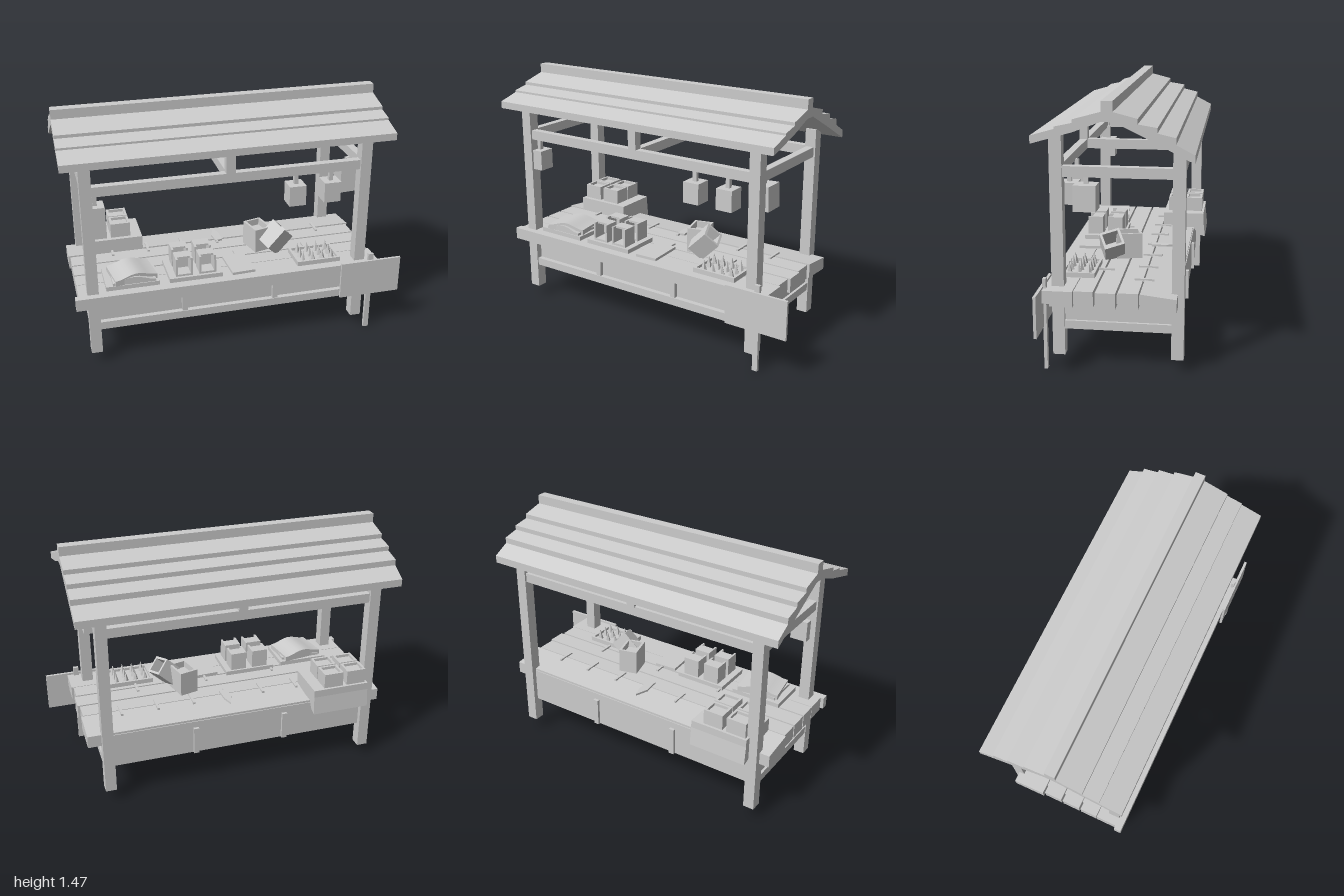
import * as THREE from 'three';

export function createModel() {
  const model = new THREE.Group();
  model.name = 'marketStall';
  const grey = new THREE.MeshStandardMaterial({ color: 0xcccccc });
  grey.name = 'plainGrey';

  const add = (name, geo, parent = model) => {
    const m = new THREE.Mesh(geo, grey);
    m.name = name;
    parent.add(m);
    return m;
  };
  // Box given by its minimum and maximum on each axis
  const box = (name, x0, x1, y0, y1, z0, z1, parent) => {
    const m = add(name, new THREE.BoxGeometry(x1 - x0, y1 - y0, z1 - z0), parent);
    m.position.set((x0 + x1) / 2, (y0 + y1) / 2, (z0 + z1) / 2);
    return m;
  };
  // Profile of [z, y] points swept along x
  const sweep = (name, pts, x0, x1, parent) => {
    const shape = new THREE.Shape(pts.map(([z, y]) => new THREE.Vector2(-z, y)));
    const geo = new THREE.ExtrudeGeometry(shape, { depth: x1 - x0, bevelEnabled: false });
    geo.rotateY(Math.PI / 2);
    geo.translate(x0, 0, 0);
    return add(name, geo, parent);
  };
  // Open box on the ground, with thin walls; the front can be left out
  const openBox = (name, w, h, d, t, front = true) => {
    const g = new THREE.Group();
    g.name = name;
    box('base', -w / 2, w / 2, 0, t, -d / 2, d / 2, g);
    for (const s of [-1, 1]) {
      const a = s * w / 2, b = s * (w / 2 - t);
      box('sideWall', Math.min(a, b), Math.max(a, b), 0, h, -d / 2, d / 2, g);
    }
    box('backWall', -w / 2, w / 2, 0, h, -d / 2, -d / 2 + t, g);
    if (front) box('frontWall', -w / 2, w / 2, 0, h, d / 2 - t, d / 2, g);
    model.add(g);
    return g;
  };

  // Stepped roof and ridge
  sweep('roof', [
    [0.418, 1.252], [0.418, 1.294], [0.293, 1.33], [0.293, 1.342], [0.2, 1.362], [0.2, 1.38],
    [0.055, 1.42], [-0.004, 1.42], [-0.129, 1.388], [-0.129, 1.361], [-0.227, 1.345],
    [-0.227, 1.318], [-0.32, 1.296], [-0.32, 1.262], [-0.415, 1.212], [-0.415, 1.168],
    [-0.2, 1.277], [-0.01, 1.37], [0.055, 1.37], [0.2, 1.315],
  ], -1, 0.89);
  box('ridge', -1, 0.89, 1.4, 1.474, -0.004, 0.055);

  // Four posts
  for (const x of [-0.9, 0.715]) {
    box('frontPost', x, x + 0.065, 0.07, 1.28, 0.281, 0.348);
    box('backPost', x, x + 0.065, 0.07, 1.22, -0.364, -0.297);
    box('sideTopRail', x + 0.01, x + 0.055, 1.06, 1.117, -0.3, 0.285);
    box('sideLowRail', x + 0.005, x + 0.06, 0.22, 0.267, -0.3, 0.285);
    box('sidePanel', x + 0.02, x + 0.045, 0.26, 0.4, -0.3, 0.285);
  }
  // Long top rails, cross rail and roof struts
  for (const z of [0.315, -0.33]) {
    box('longTopRail', -0.84, 0.72, 1.06, 1.117, z - 0.022, z + 0.022);
    box('roofStrut', -0.085, -0.032, 1.11, z > 0 ? 1.29 : 1.22, z - 0.025, z + 0.025);
  }
  box('crossRail', -0.08, -0.035, 1.06, 1.117, -0.32, 0.3);

  // Counter body with rails and dividers
  box('floor', -0.87, 0.75, 0.235, 0.255, -0.33, 0.31);
  box('frontPanel', -0.86, 0.74, 0.24, 0.42, 0.29, 0.31);
  box('backPanel', -0.84, 0.72, 0.22, 0.43, -0.335, -0.315);
  box('frontLowRail', -0.84, 0.72, 0.22, 0.267, 0.29, 0.34);
  for (const x of [-0.335, 0.22]) {
    box('frontDivider', x - 0.016, x + 0.016, 0.22, 0.4, 0.29, 0.335);
    box('backDivider', x - 0.016, x + 0.016, 0.22, 0.39, -0.352, -0.33);
  }

  // Counter planks, the last one sagging towards the back
  box('frontBoard', -0.97, 0.86, 0.39, 0.462, 0.345, 0.388);
  const planks = [[0.222, 0.346], [0.113, 0.218], [-0.007, 0.102], [-0.127, -0.018]];
  planks.forEach(([z0, z1], i) =>
    box('plank', -0.95, 0.86 - (i % 2) * 0.012, 0.375, 0.462, z0, z1));
  sweep('backPlank', [[-0.137, 0.38], [-0.137, 0.465], [-0.33, 0.443], [-0.33, 0.37]], -0.96, 0.86);
  box('plankBed', -0.9, 0.8, 0.385, 0.435, -0.3, 0.34);
  // Thin pegs across the plank joints
  for (let i = 0; i < 7; i++) {
    const x = -0.7 + i * 0.22;
    box('peg', x, x + 0.014, 0.455, 0.472, -0.19, -0.08);
    if (i % 2) box('peg', x + 0.07, x + 0.084, 0.455, 0.472, 0.05, 0.16);
  }

  // Hanging lanterns: hollow body, roof plate and stem
  const lantern = (x, z, w, y0, y1, turn) => {
    const g = openBox('lantern', w, y1 - y0, w, 0.012);
    g.children[0].position.y = y1 - y0 - 0.006;
    box('lamp', -w / 5, w / 5, 0.03, y1 - y0, -w / 5, w / 5, g);
    box('stem', -0.012, 0.012, y1 - y0, 1.07 - y0, -0.012, 0.012, g);
    g.position.set(x, y0, z);
    g.rotation.z = turn;
  };
  lantern(-0.818, 0.285, 0.1, 0.868, 0.99, 0);
  lantern(0.342, 0.285, 0.1, 0.868, 0.99, 0);
  lantern(0.555, 0.285, 0.1, 0.868, 0.99, 0);
  lantern(0.712, 0.167, 0.122, 0.872, 1.012, 0.04);

  // Raised stand with crates at the back corner
  sweep('crateStand', [
    [-0.137, 0.45], [-0.137, 0.545], [-0.4, 0.545], [-0.4, 0.5], [-0.412, 0.39], [-0.37, 0.4], [-0.335, 0.45],
  ], -0.85, -0.5);
  for (const x of [-0.775, -0.63]) for (const z of [-0.217, -0.332]) {
    const c = openBox('crate', 0.12, 0.092, 0.106, 0.014);
    c.position.set(x, 0.543, z);
    box('crateFilling', -0.05, 0.05, 0.01, 0.075, -0.045, 0.045, c);
  }

  // Tray with folded cloth
  box('clothTray', -0.79, -0.48, 0.46, 0.488, 0.1, 0.33);
  const cloth = new THREE.BoxGeometry(0.25, 0.045, 0.2, 8, 1, 4);
  const cp = cloth.attributes.position;
  for (let i = 0; i < cp.count; i++) {
    if (cp.getY(i) > 0) cp.setY(i, 0.022 + 0.014 * Math.cos(cp.getX(i) * 25));
  }
  cloth.computeVertexNormals();
  for (let i = 0; i < 2; i++) {
    const m = add('foldedCloth', cloth);
    m.position.set(-0.625, 0.495 + i * 0.015, 0.225 - i * 0.01);
    m.rotation.y = i * 0.15;
  }

  // Tray with four open-fronted boxes
  box('boxTray', -0.42, -0.105, 0.46, 0.488, 0.08, 0.33);
  for (const x of [-0.33, -0.19]) for (const z of [0.14, 0.265]) {
    const b = openBox('displayBox', 0.1, 0.112, 0.095, 0.012, false);
    b.position.set(x, 0.488, z);
    box('lid', -0.05, 0.05, 0.1, 0.112, -0.047, 0.02, b);
  }

  // Flat sheet and a small leaf
  box('flatSheet', -0.05, 0.09, 0.46, 0.478, 0.11, 0.33).rotation.y = 0.05;
  const leafShape = new THREE.Shape([[0, 0.08], [-0.03, 0], [-0.02, -0.08], [0.025, -0.07], [0.02, 0.02]]
    .map(([a, b]) => new THREE.Vector2(a, b)));
  const leaf = add('leaf', new THREE.ExtrudeGeometry(leafShape, { depth: 0.012, bevelEnabled: false }));
  leaf.rotation.x = -Math.PI / 2;
  leaf.position.set(-0.02, 0.462, -0.18);

  // Upright and toppled containers
  const spike = new THREE.ConeGeometry(0.02, 0.07, 5).toNonIndexed();
  spike.computeVertexNormals();
  const upright = openBox('uprightContainer', 0.115, 0.15, 0.15, 0.014);
  upright.position.set(0.2, 0.462, 0.01);
  upright.rotation.y = 0.25;
  box('filling', -0.05, 0.05, 0.01, 0.11, -0.06, 0.06, upright);
  const toppled = openBox('toppledContainer', 0.11, 0.15, 0.12, 0.014);
  toppled.position.set(0.235, 0.5, 0.1);
  toppled.rotation.set(0.25, 0.35, -0.85);

  // Tray of pointed goods
  const tray = openBox('spikeTray', 0.27, 0.03, 0.19, 0.014);
  tray.position.set(0.495, 0.46, 0.235);
  for (let i = 0; i < 4; i++) for (let j = 0; j < 3; j++) {
    const m = add('pointedGood', spike, tray);
    m.position.set(-0.09 + i * 0.06, 0.045, -0.055 + j * 0.055);
    m.rotation.y = i + j;
  }

  // Sign board on its stake
  box('signStake', 0.79, 0.822, 0, 0.515, 0.37, 0.389);
  box('signBoard', 0.615, 0.995, 0.245, 0.475, 0.385, 0.401);
  return model;
}
